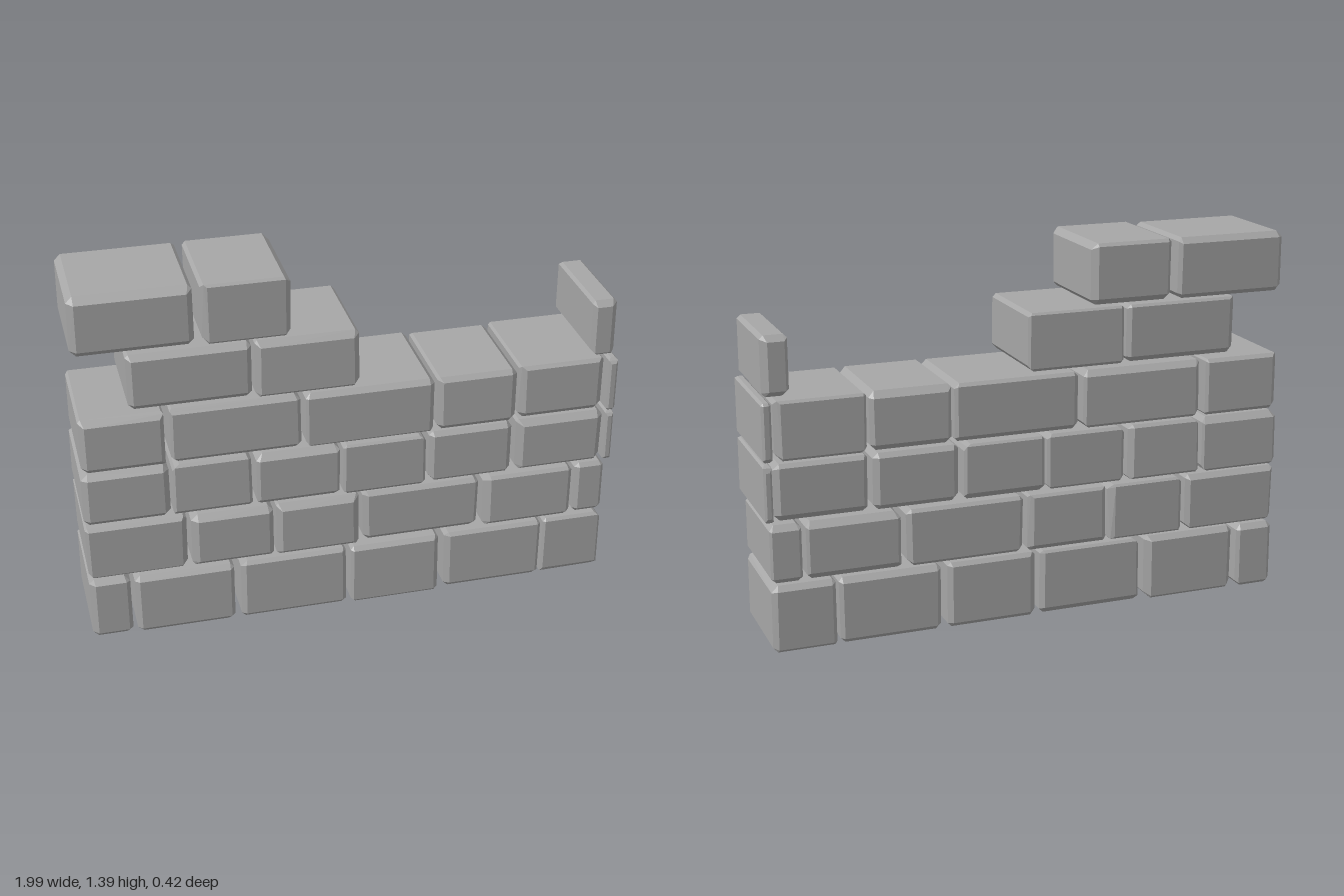
import * as THREE from 'three';
import { ConvexGeometry } from 'three/addons/geometries/ConvexGeometry.js';

// Small seeded generator for the hand-cut irregularity
let seed = 7;
const rand = (a, b) => {
  seed = (seed * 16807) % 2147483647;
  return a + (b - a) * (seed / 2147483647);
};

// Each course: bottom, top, back, front, then the x extents of its bricks
const courses = [
  { y: [0, 0.25], z: [-0.21, 0.21],
    bricks: [[-0.995, -0.845], [-0.83, -0.46], [-0.435, -0.03], [-0.015, 0.33], [0.355, 0.74], [0.75, 0.985]] },
  { y: [0.26, 0.475], z: [-0.21, 0.205],
    bricks: [[-0.995, -0.625], [-0.61, -0.305], [-0.295, 0.02], [0.035, 0.485], [0.505, 0.855], [0.87, 0.985]] },
  { y: [0.49, 0.7], z: [-0.215, 0.21],
    bricks: [[-0.995, -0.68], [-0.67, -0.38], [-0.365, -0.055], [-0.045, 0.27], [0.285, 0.605], [0.625, 0.965], [0.97, 1]] },
  { y: [0.71, 0.925], z: [-0.215, 0.21],
    bricks: [[-0.99, -0.69], [-0.67, -0.195], [-0.18, 0.3], [0.31, 0.615], [0.625, 0.955], [0.965, 1]] },
  { y: [0.94, 1.155], z: [-0.205, 0.205],
    bricks: [[-0.81, -0.37], [-0.36, 0.02], [0.895, 0.99]] },
  { y: [1.165, 1.39], z: [-0.215, 0.195],
    bricks: [[-0.995, -0.565], [-0.54, -0.225]] },
];

// Box with a different chamfer on each edge and slightly slanted sides
function brickGeometry(w, h, d) {
  const half = [w / 2, h / 2, d / 2];
  const chamfers = {};
  const chamfer = (a, sa, b, sb) => {
    const key = a < b ? `${a}${sa}${b}${sb}` : `${b}${sb}${a}${sa}`;
    chamfers[key] ??= rand(0.008, 0.026);
    return Math.min(chamfers[key], half[a] * 0.5, half[b] * 0.5);
  };
  const slantX = rand(-0.008, 0.008) * Math.min(1, w * 4);
  const slantZ = rand(-0.008, 0.008);
  const points = [];
  for (const sx of [-1, 1]) for (const sy of [-1, 1]) for (const sz of [-1, 1]) {
    const s = [sx, sy, sz];
    for (let a = 0; a < 3; a++) {
      const p = half.map((v, i) => s[i] * (i === a ? v : v - chamfer(a, s[a], i, s[i])));
      p[0] *= 1 - Math.abs(slantX) + slantX * p[1] / half[1];
      p[2] *= 1 - Math.abs(slantZ) + slantZ * p[1] / half[1];
      points.push(new THREE.Vector3(...p));
    }
  }
  return new ConvexGeometry(points);
}

export function createModel() {
  seed = 7;
  const stone = new THREE.MeshStandardMaterial({ color: 0xa6a6a6 });
  stone.name = 'grey stone';
  const wall = new THREE.Group();
  wall.name = 'ruinedWall';

  courses.forEach(({ y, z, bricks }, row) => {
    const course = new THREE.Group();
    course.name = `course${row + 1}`;
    bricks.forEach(([x0, x1], i) => {
      // Bricks sit a little in or out of the wall face
      const back = z[0] + rand(0, 0.012), front = z[1] - rand(0, 0.015);
      const brick = new THREE.Mesh(brickGeometry(x1 - x0, y[1] - y[0], front - back), stone);
      brick.name = `brick${i + 1}`;
      brick.position.set((x0 + x1) / 2, (y[0] + y[1]) / 2, (front + back) / 2);
      course.add(brick);
    });
    wall.add(course);
  });
  return wall;
}
